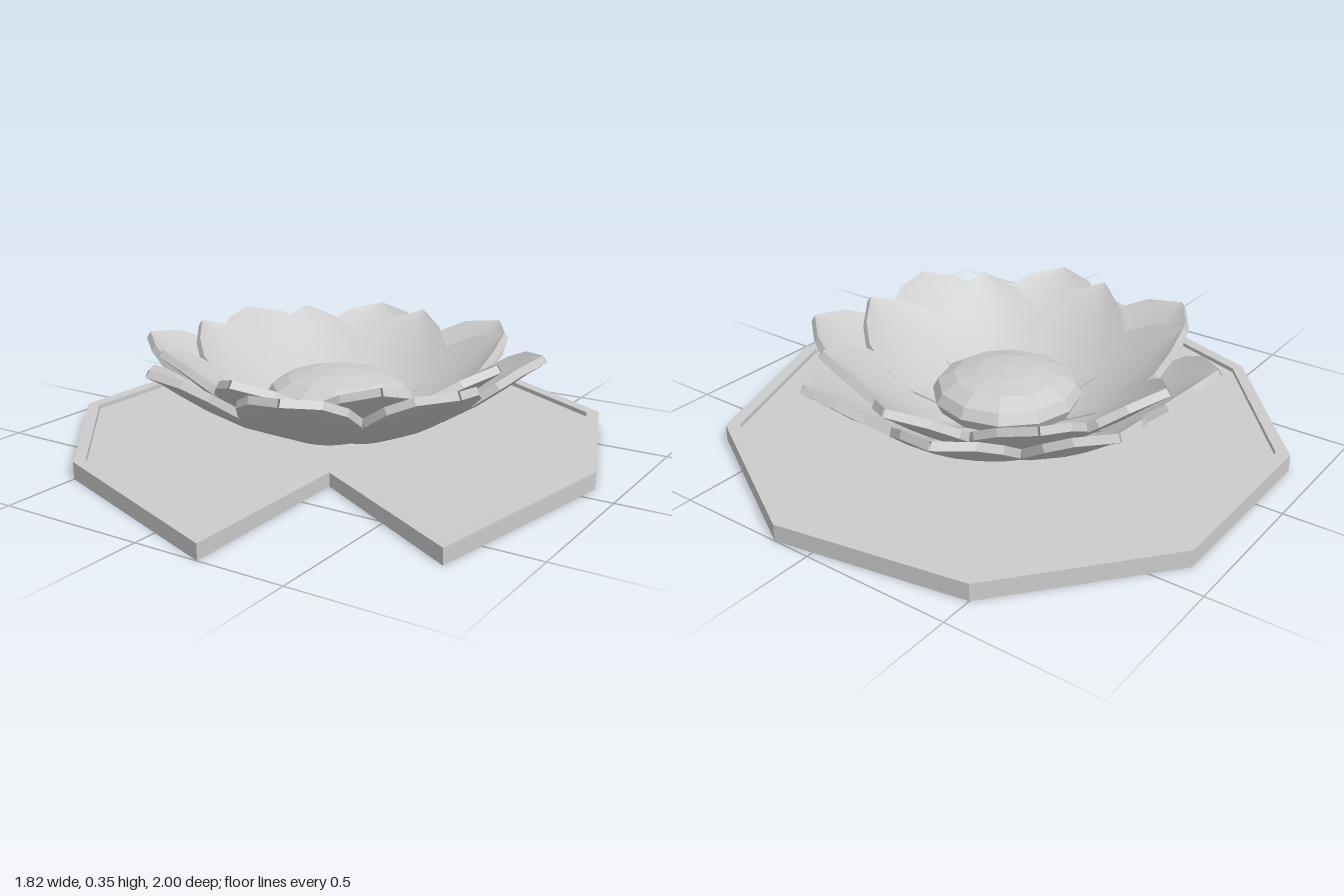
import * as THREE from 'three';

const material = (opts = {}) => new THREE.MeshStandardMaterial({ color: 0xcccccc, ...opts });

// Leaf outline: x, z, rim height; the notch is the fifth corner
const OUTER = [
  [0.13, -1, 0.057], [0.69, -0.68, 0.057], [0.91, -0.08, 0.057], [0.78, 0.67, 0.05],
  [0.21, 0.345, 0.046], [0.22, 1, 0.05], [-0.5, 0.73, 0.057], [-0.91, 0.24, 0.057],
  [-0.91, -0.4, 0.057], [-0.5, -0.89, 0.057],
];
// Inner edge of the rim: x, z
const INNER = [
  [0.12, -0.955], [0.655, -0.65], [0.865, -0.08], [0.74, 0.625], [0.205, 0.33],
  [0.175, 0.935], [-0.48, 0.695], [-0.865, 0.23], [-0.865, -0.385], [-0.475, -0.85],
];
const FLOOR = 0.042;

// Joins rings of points with flat quads; closed around each ring
function stripGeometry(rings) {
  const pos = [];
  const n = rings[0].length;
  for (let k = 0; k < rings.length - 1; k++) {
    for (let i = 0; i < n; i++) {
      const j = (i + 1) % n;
      const [a, b, c, d] = [rings[k][i], rings[k + 1][i], rings[k + 1][j], rings[k][j]];
      pos.push(...a, ...b, ...c, ...a, ...c, ...d);
    }
  }
  const g = new THREE.BufferGeometry();
  g.setAttribute('position', new THREE.Float32BufferAttribute(pos, 3));
  g.computeVertexNormals();
  return g;
}

function createLeaf() {
  const leaf = new THREE.Group();
  leaf.name = 'leafPad';

  const shape = new THREE.Shape(OUTER.map(([x, z]) => new THREE.Vector2(x, z)));
  const slab = new THREE.ExtrudeGeometry(shape, { depth: FLOOR, bevelEnabled: false });
  slab.rotateX(Math.PI / 2).translate(0, FLOOR, 0);
  const base = new THREE.Mesh(slab, material({ flatShading: true }));
  base.name = 'leafBase';

  // Raised lip, lowest beside the notch
  const rim = new THREE.Mesh(stripGeometry([
    OUTER.map(([x, z]) => [x, FLOOR, z]),
    OUTER.map(([x, z, h]) => [x, h, z]),
    INNER.map(([x, z], i) => [x, OUTER[i][2], z]),
    INNER.map(([x, z]) => [x, FLOOR, z]),
  ]), material({ flatShading: true }));
  rim.name = 'leafRim';
  leaf.add(base, rim);
  return leaf;
}

// Petal cross-sections from root to tip: distance from centre, height, half width
const INNER_PETAL = [
  [0.06, 0.06, 0.06], [0.2, 0.085, 0.13], [0.3, 0.125, 0.178], [0.39, 0.185, 0.192],
  [0.47, 0.245, 0.17], [0.53, 0.295, 0.11], [0.595, 0.345, 0.003],
];
const OUTER_PETAL = [
  [0.06, 0.055, 0.06], [0.25, 0.08, 0.125], [0.38, 0.135, 0.18], [0.49, 0.2, 0.197],
  [0.575, 0.26, 0.175], [0.635, 0.305, 0.115], [0.69, 0.337, 0.003],
];
const COLS = 6, THICK = 0.027, CUP = 0.03;

// A cupped, thick petal pointing along +z: smooth faces, sharp rim
function petalGeometry(rows) {
  const point = (i, j, offset) => {
    const [r, y, w] = rows[i];
    const a = rows[Math.max(i - 1, 0)], b = rows[Math.min(i + 1, rows.length - 1)];
    const len = Math.hypot(b[0] - a[0], b[1] - a[1]);
    const u = (2 * j) / COLS - 1;
    const lift = CUP * u * u * (w / 0.19) - offset;
    return [u * w, y + ((b[0] - a[0]) / len) * lift, r - ((b[1] - a[1]) / len) * lift];
  };
  const pos = [], idx = [];
  const last = rows.length - 1;
  const count = () => pos.length / 3;

  // Upper and lower faces
  for (const offset of [0, THICK]) {
    const start = count();
    for (let i = 0; i <= last; i++) for (let j = 0; j <= COLS; j++) pos.push(...point(i, j, offset));
    for (let i = 0; i < last; i++) {
      for (let j = 0; j < COLS; j++) {
        const a = start + i * (COLS + 1) + j, b = a + COLS + 1;
        if (offset) idx.push(a, a + 1, b, b, a + 1, b + 1);
        else idx.push(a, b, a + 1, b, b + 1, a + 1);
      }
    }
  }

  // Rim along both sides
  for (const j of [0, COLS]) {
    for (let i = 0; i < last; i++) {
      const s = count();
      pos.push(...point(i, j, 0), ...point(i + 1, j, 0), ...point(i, j, THICK), ...point(i + 1, j, THICK));
      if (j) idx.push(s, s + 1, s + 2, s + 1, s + 3, s + 2);
      else idx.push(s, s + 2, s + 1, s + 1, s + 2, s + 3);
    }
  }
  const g = new THREE.BufferGeometry();
  g.setAttribute('position', new THREE.Float32BufferAttribute(pos, 3));
  g.setIndex(idx);
  g.computeVertexNormals();
  return g;
}

function petalRing(name, rows, startDegrees) {
  const ring = new THREE.Group();
  ring.name = name + 's';
  const geometry = petalGeometry(rows);
  const mat = material({ side: THREE.DoubleSide });
  for (let k = 0; k < 8; k++) {
    const petal = new THREE.Mesh(geometry, mat);
    petal.name = name;
    petal.rotation.y = THREE.MathUtils.degToRad(startDegrees + 45 * k + 90);
    ring.add(petal);
  }
  return ring;
}

export function createModel() {
  const model = new THREE.Group();
  model.name = 'waterLily';

  const flower = new THREE.Group();
  flower.name = 'flower';
  flower.position.set(-0.03, 0, -0.08);
  flower.add(petalRing('innerPetal', INNER_PETAL, 0));
  flower.add(petalRing('outerPetal', OUTER_PETAL, 18.5));

  // Faceted, flattened heart of the flower
  const heart = new THREE.Mesh(new THREE.SphereGeometry(0.25, 12, 8), material({ flatShading: true }));
  heart.name = 'flowerCentre';
  heart.scale.y = 0.38;
  heart.position.y = 0.155;
  flower.add(heart);

  model.add(createLeaf(), flower);
  return model;
}
